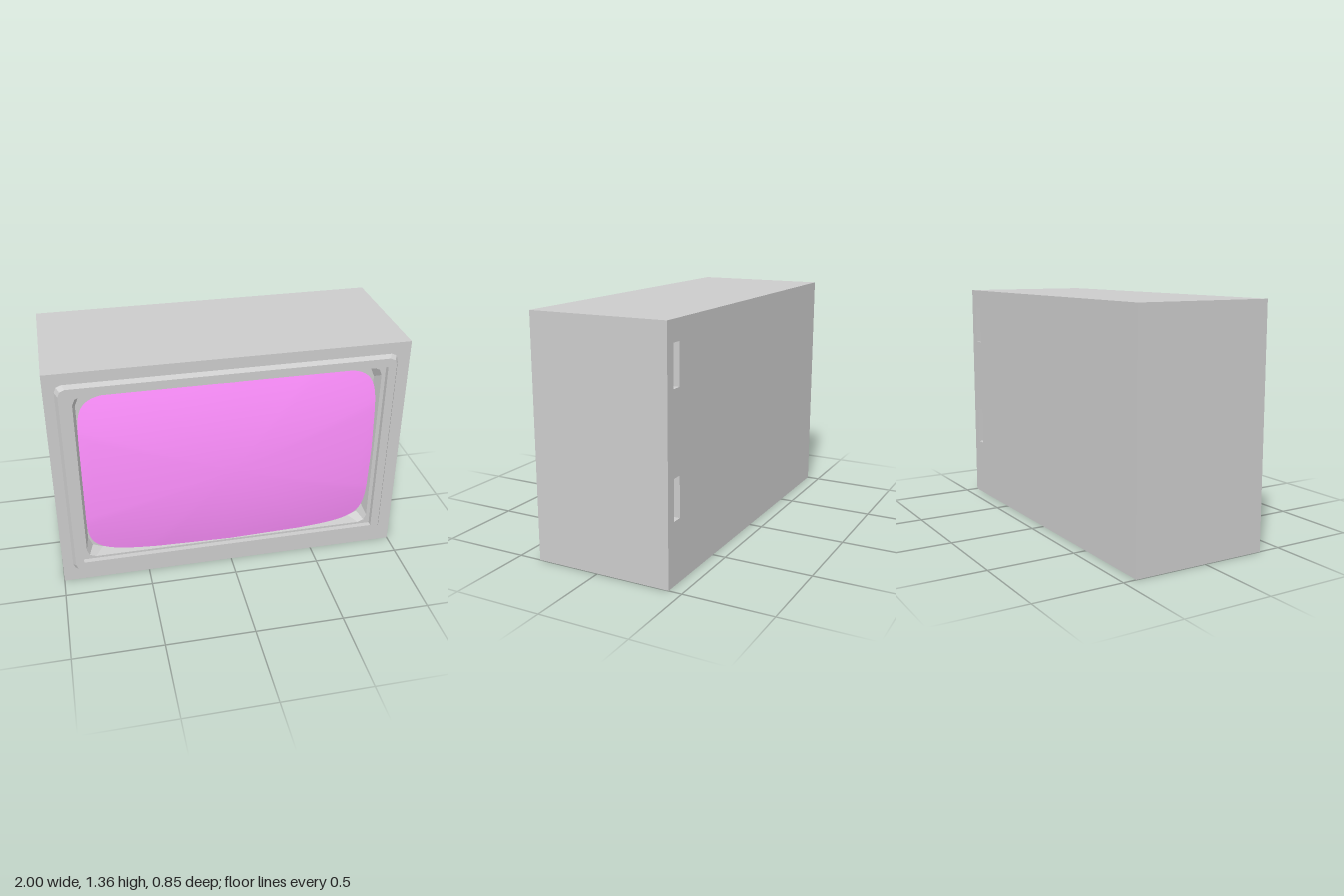
import * as THREE from 'three';

const W = 1, H = 1.355, BACK = -0.425, FRONT = 0.37;
const CX = -0.005, CY = 0.683; // centre of the screen and its frame

const grey = new THREE.MeshStandardMaterial({ color: 0xcccccc, flatShading: true });
const pink = new THREE.MeshStandardMaterial({ color: 0xff90ff });

// Counter-clockwise rectangle with rounded corners (three points per corner)
function ring(cx, cy, hw, hh, r, z) {
  const points = [];
  [[1, -1], [1, 1], [-1, 1], [-1, -1]].forEach(([sx, sy], c) => {
    for (let i = 0; i < 3; i++) {
      const a = (c - 1) * Math.PI / 2 + i * Math.PI / 4;
      points.push([cx + sx * (hw - r) + r * Math.cos(a), cy + sy * (hh - r) + r * Math.sin(a), z]);
    }
  });
  return points;
}

// Skin through a series of rings with equal point counts
function loft(rings) {
  const n = rings[0].length, index = [];
  for (let k = 0; k < rings.length - 1; k++) {
    for (let i = 0; i < n; i++) {
      const a = k * n + i, b = k * n + (i + 1) % n;
      index.push(a, b, b + n, a, b + n, a + n);
    }
  }
  const geometry = new THREE.BufferGeometry();
  geometry.setAttribute('position', new THREE.Float32BufferAttribute(rings.flat(2), 3));
  geometry.setIndex(index);
  const flat = geometry.toNonIndexed();
  flat.computeVertexNormals();
  return flat;
}

function addMesh(group, name, geometry, material) {
  const mesh = new THREE.Mesh(geometry, material);
  mesh.name = name;
  group.add(mesh);
}

// Bulging glass: superellipse outline on a shallow paraboloid
function screenGeometry() {
  const hw = 0.837, hh = 0.525, power = 2 / 8, around = 96, steps = 14;
  const positions = [], index = [];
  for (let k = 0; k <= steps; k++) {
    for (let i = 0; i < around; i++) {
      const a = i / around * Math.PI * 2, s = k / steps;
      const c = Math.cos(a), d = Math.sin(a);
      const x = s * hw * Math.sign(c) * Math.abs(c) ** power;
      const y = s * hh * Math.sign(d) * Math.abs(d) ** power;
      positions.push(CX + x, CY + y, 0.426 - 0.075 * x * x - 0.205 * y * y);
      if (k < steps) {
        const p = k * around + i, q = k * around + (i + 1) % around;
        if (k > 0) index.push(p, q + around, q);
        index.push(p, p + around, q + around);
      }
    }
  }
  const geometry = new THREE.BufferGeometry();
  geometry.setAttribute('position', new THREE.Float32BufferAttribute(positions, 3));
  geometry.setIndex(index);
  geometry.computeVertexNormals();
  // The centre points coincide, so give them the forward normal
  for (let i = 0; i < around; i++) geometry.attributes.normal.setXYZ(i, 0, 0, 1);
  return geometry;
}

export function createModel() {
  const model = new THREE.Group();
  model.name = 'television';

  // Cabinet sides and the flat margin around the frame
  addMesh(model, 'cabinet', loft([
    ring(0, H / 2, W, H / 2, 0, BACK),
    ring(0, H / 2, W, H / 2, 0, FRONT),
    ring(CX, CY, 0.936, 0.607, 0.04, FRONT),
  ]), grey);

  // Raised frame, stepped inward to the recess that holds the screen
  addMesh(model, 'screenFrame', loft([
    ring(CX, CY, 0.936, 0.607, 0.04, FRONT),
    ring(CX, CY, 0.92, 0.593, 0.04, 0.4),
    ring(CX, CY, 0.872, 0.543, 0, 0.4),
    ring(CX, CY, 0.872, 0.543, 0, FRONT),
    ring(CX, CY, 0.85, 0.53, 0.05, FRONT),
    ring(CX, CY, 0.835, 0.52, 0.08, 0.3),
    ring(CX, CY, 0.7, 0.4, 0.08, 0.3),
  ]), grey);

  addMesh(model, 'screen', screenGeometry(), pink);

  // Back panel with two slots cut near one edge
  const slotX = 0.91, slotHalfW = 0.03, slotHalfH = 0.112, slotYs = [1.13, 0.457];
  const outline = (cx, cy, hw, hh) => [[-1, -1], [1, -1], [1, 1], [-1, 1]]
    .map(([sx, sy]) => new THREE.Vector2(cx + sx * hw, cy + sy * hh));
  const panel = new THREE.Shape(outline(0, H / 2, W, H / 2));
  for (const y of slotYs) {
    panel.holes.push(new THREE.Path(outline(-slotX, y, slotHalfW, slotHalfH)));
  }
  addMesh(model, 'backPanel',
    new THREE.ShapeGeometry(panel).rotateY(Math.PI).translate(0, 0, BACK), grey);

  // Shallow pockets behind the slots
  for (const y of slotYs) {
    addMesh(model, 'backSlot', loft([
      ring(slotX, y, 0, 0, 0, BACK + 0.035),
      ring(slotX, y, slotHalfW, slotHalfH, 0, BACK + 0.035),
      ring(slotX, y, slotHalfW, slotHalfH, 0, BACK),
    ]), grey);
  }
  return model;
}
